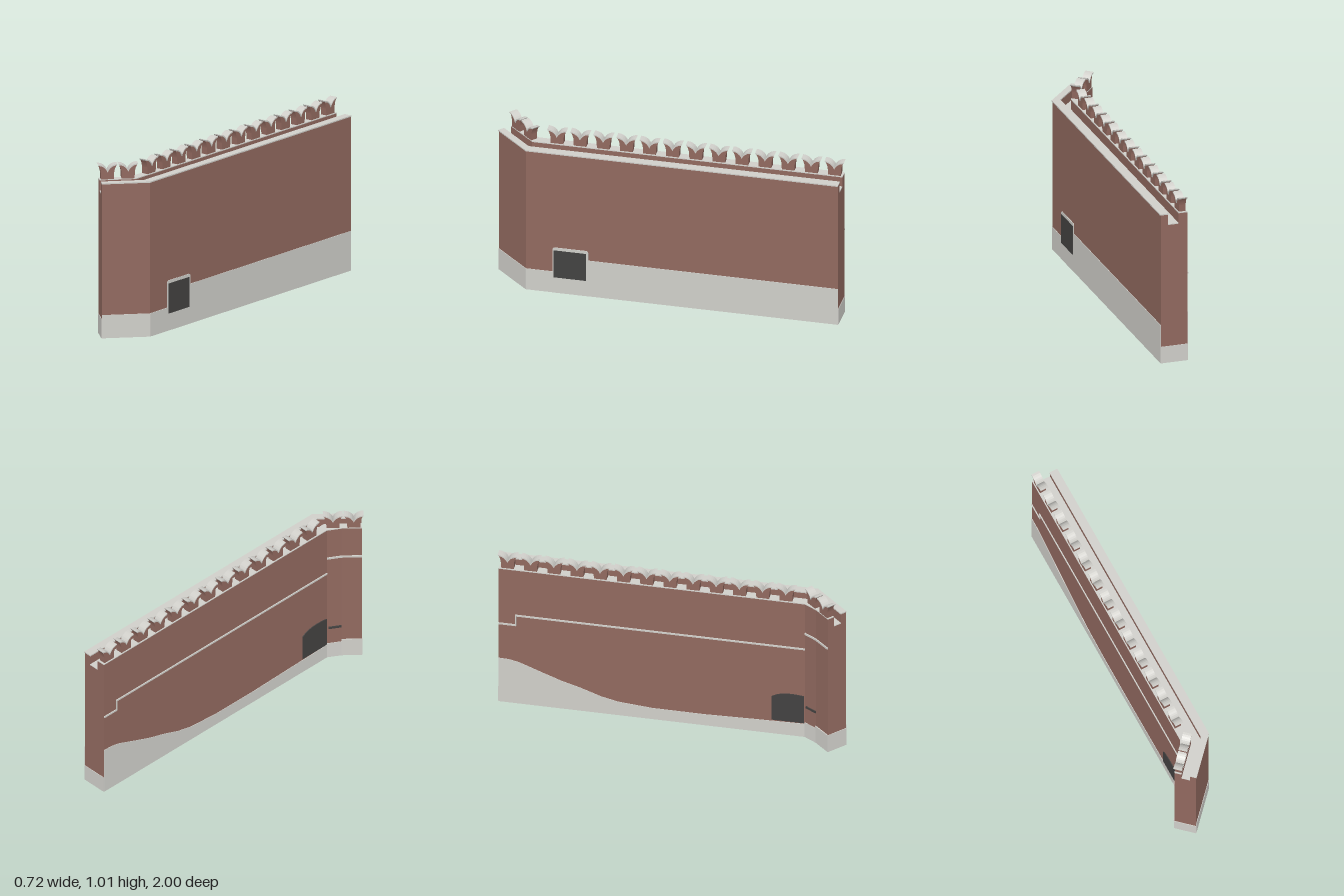
import * as THREE from 'three';

const flat = (name, color) => Object.assign(new THREE.MeshStandardMaterial({ color }), { name });

export function createModel() {
  const root = new THREE.Group();
  root.name = 'fortressWall';
  const brick = flat('brick', 0x91695f);
  const stone = flat('paleStone', 0xd0cfca);
  const dark = flat('darkOpening', 0x434241);

  // Plan corners [x, z]: short end, corner and far end, inner and outer side
  const endIn = [-0.275, 0.997], cornerIn = [-0.045, 0.84], farIn = [0.354, -0.952];
  const endOut = [-0.348, 0.892], cornerOut = [-0.197, 0.787], farOut = [0.199, -0.99];
  const bevelA = [-0.192, 0.763], bevelB = [-0.252, 0.825];
  const lerp = (a, b, t) => [a[0] + (b[0] - a[0]) * t, a[1] + (b[1] - a[1]) * t];

  function add(name, geometry, material, parent = root) {
    const mesh = new THREE.Mesh(geometry, material);
    mesh.name = name;
    parent.add(mesh);
    return mesh;
  }

  // Upright prism over a plan outline
  function prism(name, material, plan, y0, y1) {
    const shape = new THREE.Shape(plan.map(([x, z]) => new THREE.Vector2(x, -z)));
    const g = new THREE.ExtrudeGeometry(shape, { depth: y1 - y0, bevelEnabled: false });
    g.rotateX(-Math.PI / 2).translate(0, y0, 0);
    return add(name, g, material);
  }

  // Strip that follows the wall; t runs from the inner face (0) to the outer face (1)
  function strip(name, material, t0, t1, y0, y1) {
    const at = (t) => [lerp(endIn, endOut, t), lerp(cornerIn, cornerOut, t), lerp(farIn, farOut, t)];
    const outer = at(t1).reverse();
    if (t1 === 1) outer.splice(1, 1, bevelA, bevelB);
    return prism(name, material, [...at(t0), ...outer], y0, y1);
  }

  // Thin panel on the face from a to b, outlined in (distance along, height)
  function panel(name, material, a, b, outline, thick = 0.003) {
    const shape = outline instanceof THREE.Shape ? outline
      : new THREE.Shape(outline.map(([s, y]) => new THREE.Vector2(s, y)));
    const g = new THREE.ExtrudeGeometry(shape, { depth: thick, bevelEnabled: false, curveSegments: 8 });
    const mesh = add(name, g, material);
    mesh.position.set(a[0], 0, a[1]);
    mesh.rotation.y = Math.atan2(a[1] - b[1], b[0] - a[0]);
    return mesh;
  }
  const rect = (s0, s1, y0, y1) => [[s0, y0], [s1, y0], [s1, y1], [s0, y1]];
  const dist = (a, b) => Math.hypot(b[0] - a[0], b[1] - a[1]);

  // Body, walkway trough and parapets
  strip('foundation', stone, 0, 1, 0, 0.07);
  strip('wallBody', brick, 0, 1, 0.07, 0.852);
  strip('walkwayFloor', stone, 0.27, 0.67, 0.852, 0.857);
  strip('innerParapet', brick, 0, 0.27, 0.852, 0.916);
  strip('innerCoping', stone, -0.03, 0.29, 0.916, 0.923);
  strip('outerParapet', brick, 0.67, 1, 0.852, 0.916);
  strip('outerCoping', stone, 0.67, 1, 0.916, 0.921);

  // Stone base facing
  const longIn = dist(cornerIn, farIn), shortIn = dist(endIn, cornerIn);
  const longOut = dist(farOut, bevelA), shortOut = dist(bevelB, endOut), bevel = dist(bevelA, bevelB);
  panel('innerBaseLow', stone, cornerIn, farIn, rect(0, 0.16, 0, 0.138));
  panel('innerBaseHigh', stone, cornerIn, farIn, rect(0.36, longIn, 0, 0.236));
  panel('shortInnerBase', stone, endIn, cornerIn, rect(0, shortIn, 0, 0.138));
  panel('nearEndBase', stone, endOut, endIn, rect(0, dist(endOut, endIn), 0, 0.115));
  panel('farEndBase', stone, farIn, farOut, rect(0, dist(farIn, farOut), 0, 0.102));
  panel('shortOuterBase', stone, bevelB, endOut, rect(0, shortOut, 0, 0.112));
  panel('bevelBase', stone, bevelA, bevelB, rect(0, bevel, 0, 0.1));
  const slope = [[0, 0.3], [0.06, 0.298], [0.12, 0.285], [0.25, 0.235], [0.37, 0.19], [0.48, 0.158],
    [0.6, 0.115], [0.7, 0.092], [0.9, 0.076], [1.2, 0.075], [1.5, 0.083], [longOut, 0.09]];
  panel('slopingOuterBase', stone, farOut, bevelA, [[0, 0], [longOut, 0], ...slope.reverse()]);

  // Gateway with stone surround on the inner face
  const surround = new THREE.Shape();
  surround.moveTo(0.157, 0);
  surround.lineTo(0.367, 0);
  surround.lineTo(0.367, 0.285);
  surround.quadraticCurveTo(0.365, 0.298, 0.35, 0.298);
  surround.lineTo(0.172, 0.298);
  surround.quadraticCurveTo(0.158, 0.298, 0.157, 0.285);
  panel('gateSurround', stone, cornerIn, farIn, surround, 0.004);
  panel('gateOpening', dark, cornerIn, farIn, rect(0.164, 0.355, 0.102, 0.28), 0.006);

  // Arched opening on the outer face
  const arch = new THREE.Shape();
  arch.moveTo(1.6, 0.095);
  arch.lineTo(longOut - 0.005, 0.095);
  arch.lineTo(longOut - 0.005, 0.28);
  arch.quadraticCurveTo(1.66, 0.3, 1.6, 0.255);
  panel('outerOpening', dark, farOut, bevelA, arch, 0.005);
  panel('bevelSlot', dark, bevelA, bevelB, rect(0.01, bevel, 0.205, 0.218), 0.006);

  // String courses
  const course = 0.006;
  panel('longCourse', stone, farOut, bevelA, rect(0.1, longOut, 0.602, 0.612), course);
  panel('courseStep', stone, farOut, bevelA, rect(0.096, 0.104, 0.535, 0.612), course);
  panel('lowCourse', stone, farOut, bevelA, rect(0, 0.1, 0.535, 0.545), course);
  panel('bevelCourse', stone, bevelA, bevelB, rect(0, bevel, 0.71, 0.722), course);
  panel('shortCourse', stone, bevelB, endOut, rect(0, shortOut, 0.71, 0.722), course);
  panel('shortBaseCourse', stone, bevelB, endOut, rect(0, shortOut, 0.11, 0.117), course);

  // Swallowtail merlon: flaring body and two curved cap wings
  const body = new THREE.Shape();
  body.moveTo(-0.037, 0.918);
  body.lineTo(0.037, 0.918);
  body.lineTo(0.039, 0.962);
  body.quadraticCurveTo(0.042, 0.985, 0.053, 1.003);
  body.quadraticCurveTo(0.016, 1.0, 0, 0.962);
  body.quadraticCurveTo(-0.016, 1.0, -0.053, 1.003);
  body.quadraticCurveTo(-0.042, 0.985, -0.039, 0.962);
  const cap = new THREE.Shape();
  cap.moveTo(0, 0.962);
  cap.quadraticCurveTo(0.016, 1.0, 0.053, 1.003);
  cap.lineTo(0.057, 1.011);
  cap.quadraticCurveTo(0.016, 1.009, 0, 0.972);
  cap.quadraticCurveTo(-0.016, 1.009, -0.057, 1.011);
  cap.lineTo(-0.053, 1.003);
  cap.quadraticCurveTo(-0.016, 1.0, 0, 0.962);
  const thick = (shape, depth) => new THREE.ExtrudeGeometry(shape,
    { depth, bevelEnabled: false, curveSegments: 6 }).translate(0, 0, -depth / 2);
  const bodyGeo = thick(body, 0.04), capGeo = thick(cap, 0.05);

  function merlon([x, z], a, b) {
    const g = new THREE.Group();
    g.name = 'merlon';
    add('merlonBody', bodyGeo, brick, g);
    add('merlonCap', capGeo, stone, g);
    g.position.set(x, 0, z);
    g.rotation.y = Math.atan2(a[1] - b[1], b[0] - a[0]);
    root.add(g);
  }
  const mid = 0.835;
  const near = lerp(endIn, endOut, mid), turn = lerp(cornerIn, cornerOut, mid), far = lerp(farIn, farOut, mid);
  for (let i = 0; i < 13; i++) {
    const z = 0.658 - 0.1328 * i;
    merlon(lerp(turn, far, (z - turn[1]) / (far[1] - turn[1])), turn, far);
  }
  for (const s of [0.046, 0.166]) merlon(lerp(near, turn, s / dist(near, turn)), near, turn);

  return root;
}
